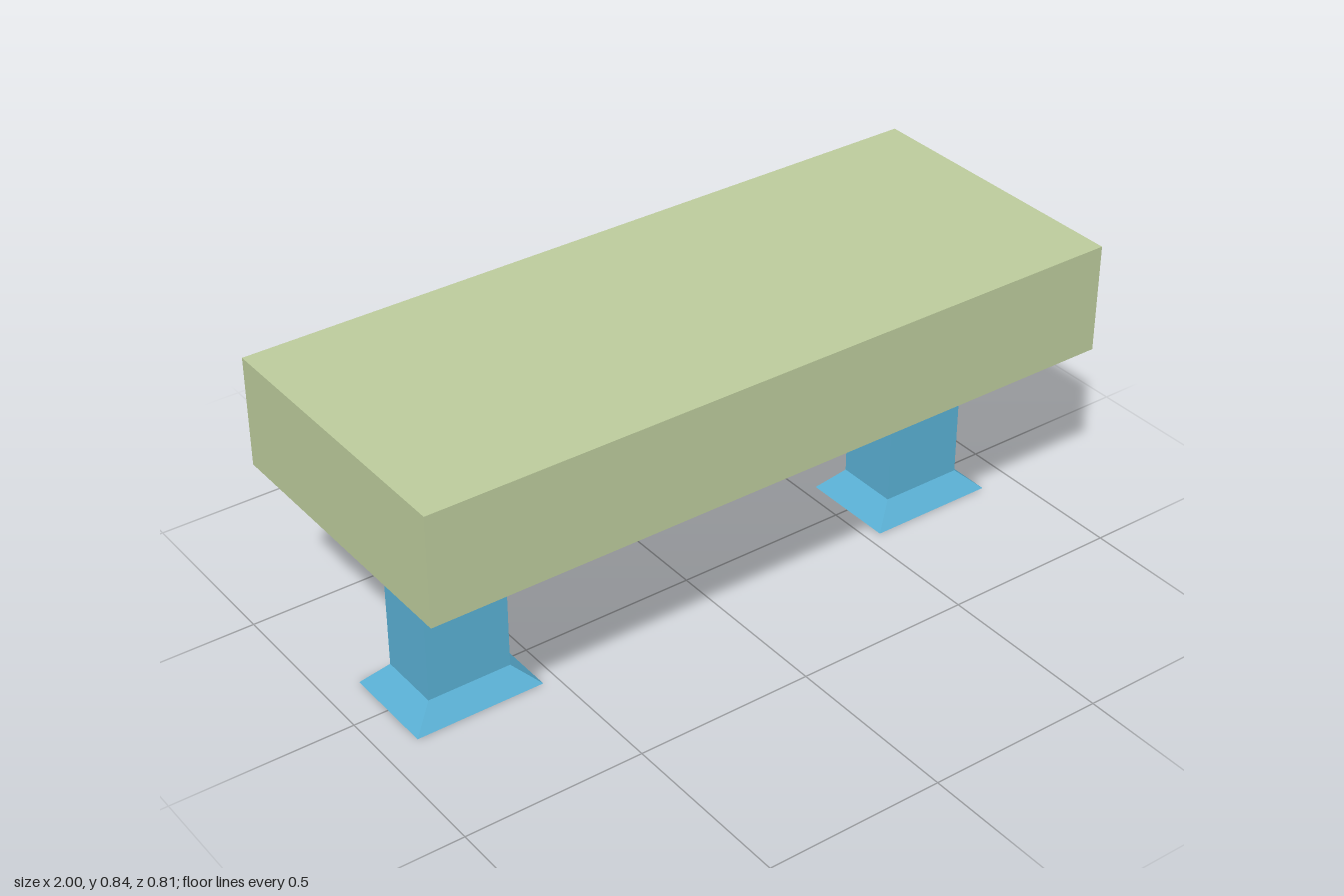
import * as THREE from 'three';

const green = new THREE.MeshStandardMaterial({ color: 0xbccb9c, flatShading: true });
const blue = new THREE.MeshStandardMaterial({ color: 0x5ab0d4, flatShading: true });

// Box standing on y = bottom, with its top face scaled by (topX, topZ)
function block(name, material, [w, h, d], bottom, topX = 1, topZ = 1) {
  const geometry = new THREE.BoxGeometry(w, h, d);
  const p = geometry.attributes.position;
  for (let i = 0; i < p.count; i++) {
    if (p.getY(i) > 0) {
      p.setX(i, p.getX(i) * topX);
      p.setZ(i, p.getZ(i) * topZ);
    }
  }
  geometry.translate(0, bottom + h / 2, 0);
  geometry.computeVertexNormals();
  const mesh = new THREE.Mesh(geometry, material);
  mesh.name = name;
  return mesh;
}

export function createModel() {
  const bench = new THREE.Group();
  bench.name = 'bench';

  // Thick slab seat
  bench.add(block('seat', green, [2, 0.302, 0.81], 0.542));

  // Two pillars on flared feet
  const legW = 0.236, legD = 0.178, footW = 0.364, footD = 0.274, footH = 0.058;
  for (const side of [-1, 1]) {
    const leg = new THREE.Group();
    leg.name = side > 0 ? 'leftLeg' : 'rightLeg';
    leg.add(
      block('pillar', blue, [legW, 0.542 - footH, legD], footH),
      block('foot', blue, [footW, footH, footD], 0, legW / footW, legD / footD)
    );
    leg.position.x = side * 0.722;
    bench.add(leg);
  }
  return bench;
}
